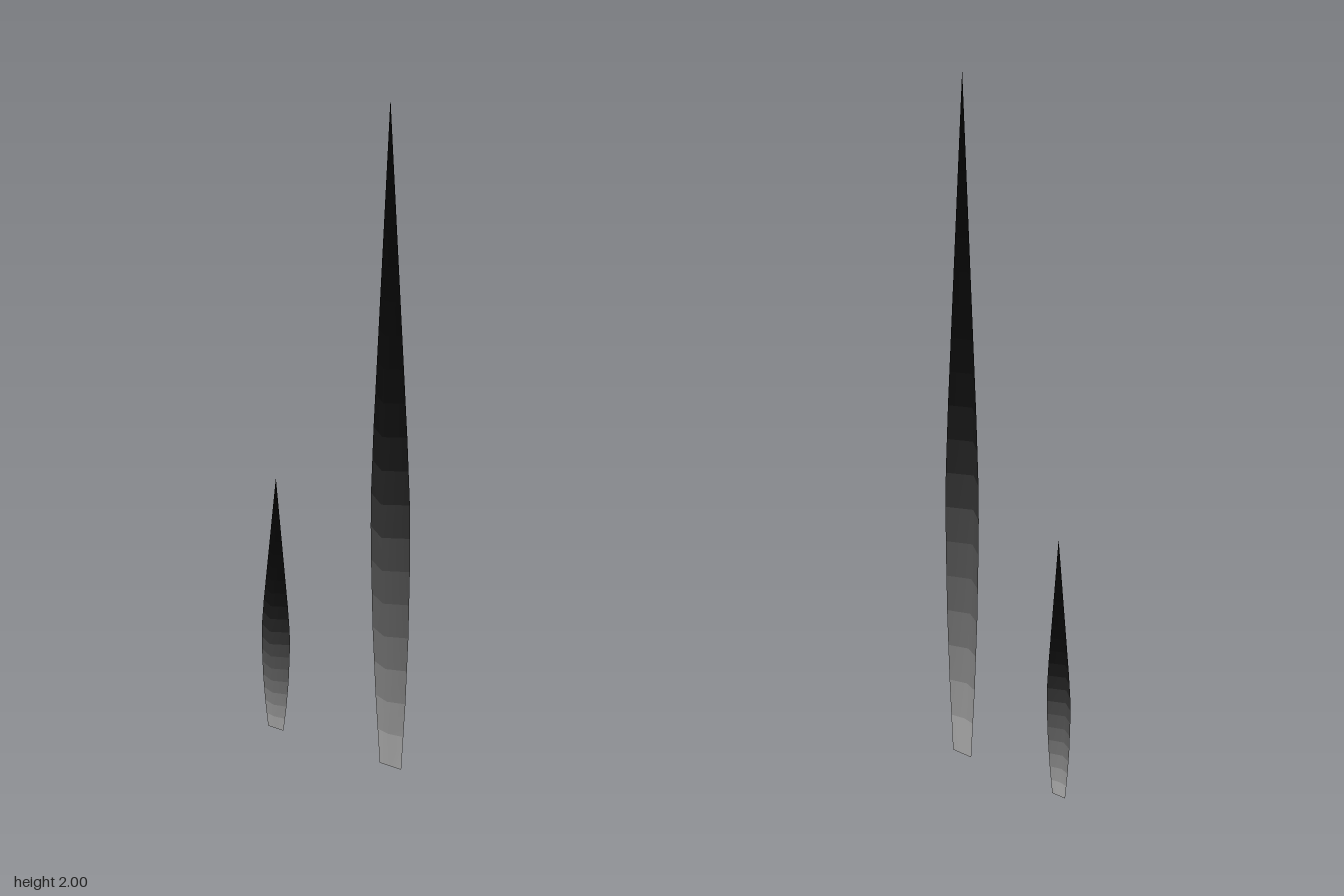
import * as THREE from 'three';

// Along the blade: fraction of height, half width, fold depth, grey tone
const PROFILE = [
  [0.0, 0.54, 0.0, 0.66],
  [0.1, 0.75, 0.4, 0.52],
  [0.2, 0.9, 0.68, 0.38],
  [0.33, 1.0, 0.95, 0.25],
  [0.4, 0.98, 1.0, 0.15],
  [0.5, 0.85, 0.87, 0.06],
  [0.6, 0.68, 0.69, 0.03],
  [1.0, 0.0, 0.0, 0.0],
];
const BANDS = 20;
const BACK = -0.022;

function sample(t, column) {
  let i = 1;
  while (i < PROFILE.length - 1 && PROFILE[i][0] < t) i++;
  const a = PROFILE[i - 1], b = PROFILE[i];
  return THREE.MathUtils.mapLinear(t, a[0], b[0], a[column], b[column]);
}

// A leaf sheet folded forward along its middle, darkening from root to tip
function blade(name, x, height, halfWidth, depth) {
  const positions = [], indices = [], materials = [];
  const geometry = new THREE.BufferGeometry();

  // Cross-sections: right edge, ridge, left edge
  for (let i = 0; i <= BANDS; i++) {
    const t = i / BANDS;
    const w = halfWidth * sample(t, 1);
    const ridge = BACK + depth * sample(t, 2);
    positions.push(-w, t * height, BACK, 0, t * height, ridge, w, t * height, BACK);
  }

  // One shade per band
  for (let i = 0; i < BANDS; i++) {
    const start = indices.length;
    for (let side = 0; side < 2; side++) {
      const a = i * 3 + side;
      indices.push(a, a + 1, a + 4);
      if (i < BANDS - 1) indices.push(a, a + 4, a + 3);
      else indices.push(a, a + 4, a + 3);
    }
    geometry.addGroup(start, indices.length - start, i);
    const grey = sample((i + 0.5) / BANDS, 3);
    materials.push(new THREE.MeshStandardMaterial({
      color: new THREE.Color().setRGB(grey, grey, grey, THREE.SRGBColorSpace),
      side: THREE.DoubleSide,
    }));
  }

  geometry.setAttribute('position', new THREE.Float32BufferAttribute(positions, 3));
  geometry.setIndex(indices);
  geometry.computeVertexNormals();
  const mesh = new THREE.Mesh(geometry, materials);
  mesh.name = name;
  mesh.position.x = x;
  return mesh;
}

export function createModel() {
  const group = new THREE.Group();
  group.name = 'grassBlades';
  group.add(blade('tallBlade', 0.18, 2, 0.066, 0.042));
  group.add(blade('shortBlade', -0.201, 0.75, 0.047, 0.027));
  return group;
}
